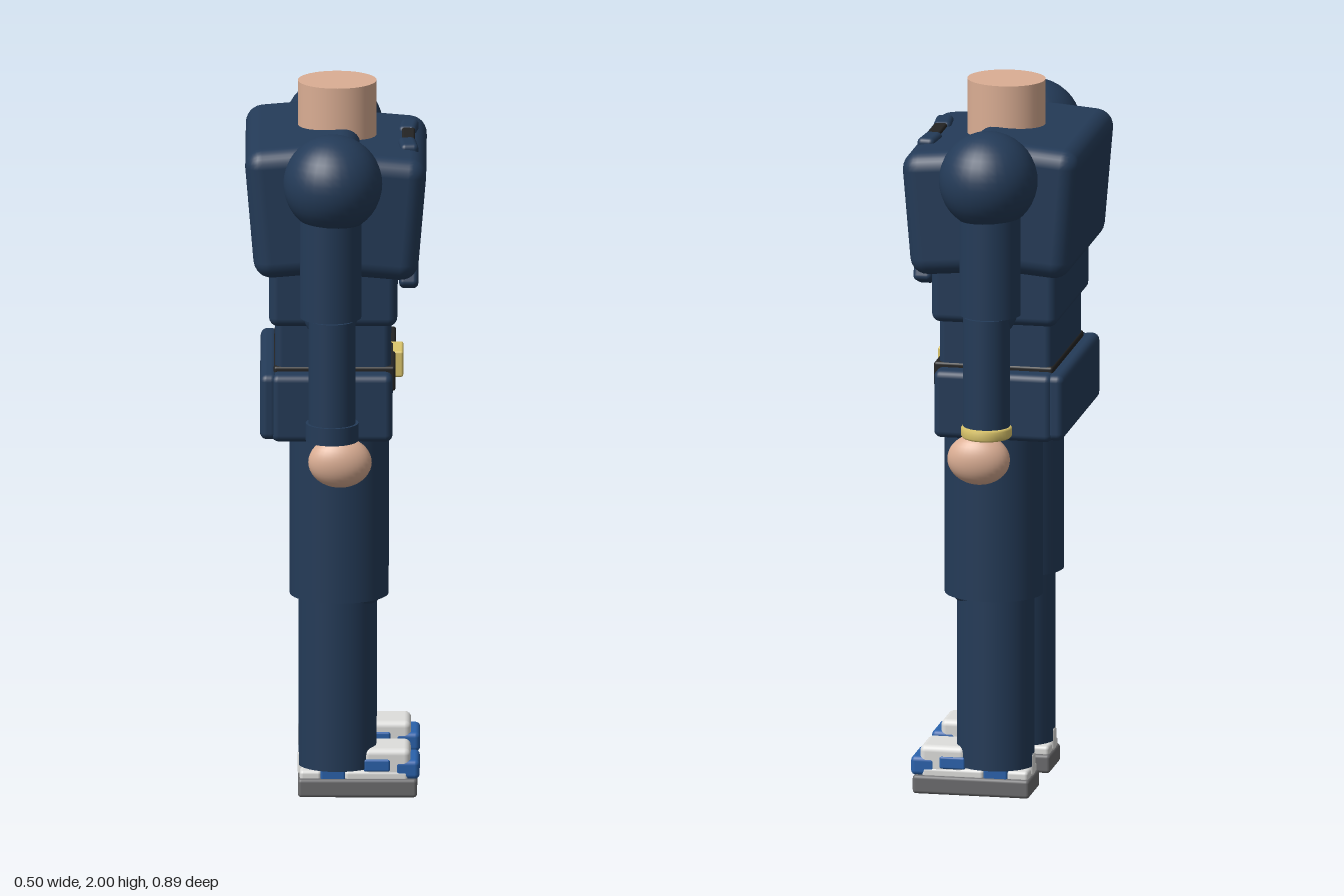
import * as THREE from 'three';
import { RoundedBoxGeometry } from 'three/addons/geometries/RoundedBoxGeometry.js';

const material = (name, color) => {
  const m = new THREE.MeshStandardMaterial({ color });
  m.name = name;
  return m;
};

export function createModel() {
  const navy = material('navy cloth', 0x243b58);
  const skin = material('skin', 0xdbae94);
  const gold = material('gold', 0xdcc66c);
  const black = material('black strap', 0x242424);
  const grey = material('grey sole', 0x6c6c6e);
  const white = material('white shoe', 0xdededc);
  const blue = material('blue shoe', 0x2a62ac);

  const model = new THREE.Group();
  model.name = 'figure';

  const add = (parent, name, geometry, mat, x, y, z) => {
    const mesh = new THREE.Mesh(geometry, mat);
    mesh.name = name;
    mesh.position.set(x, y, z);
    parent.add(mesh);
    return mesh;
  };
  // Rounded block given by its limits on each axis
  const block = (parent, name, mat, [x0, x1], [y0, y1], [z0, z1], r = 0.02) =>
    add(parent, name, new RoundedBoxGeometry(x1 - x0, y1 - y0, z1 - z0, 3, r), mat,
      (x0 + x1) / 2, (y0 + y1) / 2, (z0 + z1) / 2);
  // Upright elliptical cylinder
  const tube = (parent, name, mat, x, z, rx, rz, y0, y1) => {
    const g = new THREE.CylinderGeometry(1, 1, y1 - y0, 40).scale(rx, 1, rz);
    return add(parent, name, g, mat, x, (y0 + y1) / 2, z);
  };
  const ball = (parent, name, mat, x, y, z, rx, ry = rx, rz = rx) =>
    add(parent, name, new THREE.SphereGeometry(1, 32, 20).scale(rx, ry, rz), mat, x, y, z);

  // Neck
  tube(model, 'neck', skin, 0.003, 0, 0.109, 0.096, 1.8, 2);

  // Torso: two leaning slabs over a stepped waist (the figure faces +x)
  const torso = new THREE.Group();
  torso.name = 'torso';
  model.add(torso);
  const back = block(torso, 'upperBack', navy, [-0.24, 0.08], [1.505, 1.875], [-0.28, 0.28], 0.05);
  back.rotation.z = 0.085;
  const chest = block(torso, 'chest', navy, [-0.04, 0.24], [1.495, 1.845], [-0.272, 0.272], 0.05);
  chest.rotation.z = -0.085;
  block(torso, 'ribs', navy, [-0.185, 0.17], [1.352, 1.56], [-0.238, 0.238], 0.025);
  block(torso, 'waist', navy, [-0.168, 0.152], [1.2, 1.4], [-0.215, 0.215]);
  block(torso, 'hips', navy, [-0.165, 0.155], [1.03, 1.19], [-0.218, 0.218], 0.025);

  // Belt, buckle and hip plates
  block(torso, 'belt', black, [-0.172, 0.165], [1.165, 1.236], [-0.218, 0.218], 0.008);
  block(torso, 'buckle', gold, [0.14, 0.186], [1.162, 1.236], [-0.056, 0.056], 0.006);
  block(torso, 'backHipPlate', navy, [-0.21, -0.16], [1.035, 1.222], [-0.262, 0.262]);

  // Chest fastenings: a dark bar between two tabs, above and below
  block(torso, 'upperBar', black, [0.182, 0.218], [1.825, 1.848], [-0.07, 0.07], 0.006);
  block(torso, 'lowerBar', black, [0.17, 0.205], [1.457, 1.492], [-0.12, 0.12], 0.006);

  for (const s of [1, -1]) {
    const side = s > 0 ? 'right' : 'left';

    const upperTab = block(torso, side + 'UpperTab', navy, [0.175, 0.225], [1.815, 1.852],
      s > 0 ? [0.05, 0.143] : [-0.143, -0.05], 0.014);
    upperTab.rotation.y = s * 0.1;
    const lowerTab = block(torso, side + 'LowerTab', navy, [0.175, 0.228], [1.448, 1.525],
      s > 0 ? [0.115, 0.195] : [-0.195, -0.115], 0.014);
    lowerTab.rotation.x = -s * 0.35;
    block(torso, side + 'HipPlate', navy, [-0.178, 0.157], [1.03, 1.222],
      s > 0 ? [0.195, 0.267] : [-0.267, -0.195]);

    // Arm
    const arm = new THREE.Group();
    arm.name = side + 'Arm';
    model.add(arm);
    ball(arm, 'shoulder', navy, -0.008, 1.785, s * 0.31, 0.137, 0.137, 0.135);
    tube(arm, 'upperArm', navy, -0.014, s * 0.315, 0.085, 0.081, 1.405, 1.75);
    ball(arm, 'elbow', navy, -0.014, 1.415, s * 0.315, 0.076, 0.076, 0.074);
    tube(arm, 'forearm', navy, -0.01, s * 0.346, 0.065, 0.06, 1.07, 1.405);
    ball(arm, 'hand', skin, 0.012, 0.997, s * 0.346, 0.088, 0.072, 0.055);
    if (s > 0) {
      tube(arm, 'cuff', navy, -0.01, s * 0.345, 0.073, 0.069, 1.06, 1.11);
    } else {
      const rim = [[0.0, 1.062], [0.066, 1.062], [0.071, 1.068], [0.071, 1.088], [0.066, 1.094], [0, 1.094]];
      const ring = new THREE.LatheGeometry(rim.map(([x, y]) => new THREE.Vector2(x, y)), 40);
      add(arm, 'bracelet', ring, gold, -0.01, 0, s * 0.345);
    }

    // Leg
    const leg = new THREE.Group();
    leg.name = side + 'Leg';
    leg.position.z = s * 0.147;
    model.add(leg);
    tube(leg, 'thigh', navy, 0.009, 0, 0.137, 0.123, 0.57, 1.1);
    ball(leg, 'knee', navy, 0.025, 0.615, 0, 0.115, 0.105, 0.1);
    tube(leg, 'shin', navy, 0.004, 0, 0.108, 0.095, 0.08, 0.6);

    // Shoe
    const shoe = new THREE.Group();
    shoe.name = 'shoe';
    leg.add(shoe);
    block(shoe, 'sole', grey, [-0.105, 0.225], [0, 0.053], [-0.075, 0.075], 0.01);
    block(shoe, 'upper', white, [0.025, 0.2], [0.045, 0.075], [-0.068, 0.068], 0.01);
    block(shoe, 'toeTop', white, [0.075, 0.207], [0.05, 0.137], [-0.066, 0.066], 0.018);
    block(shoe, 'toeCap', blue, [0.16, 0.232], [0.05, 0.105], [-0.067, 0.067], 0.014);
    block(shoe, 'sidePanel', blue, [0.077, 0.15], [0.073, 0.108], [-0.07, 0.07], 0.006);
    block(shoe, 'midPanel', blue, [-0.042, 0.026], [0.045, 0.085], [-0.068, 0.068], 0.006);
    block(shoe, 'heel', white, [-0.1, -0.04], [0.045, 0.075], [-0.066, 0.066], 0.01);
    block(shoe, 'heelTab', white, [-0.106, -0.075], [0.05, 0.118], [-0.02, 0.02], 0.01);
  }
  return model;
}
